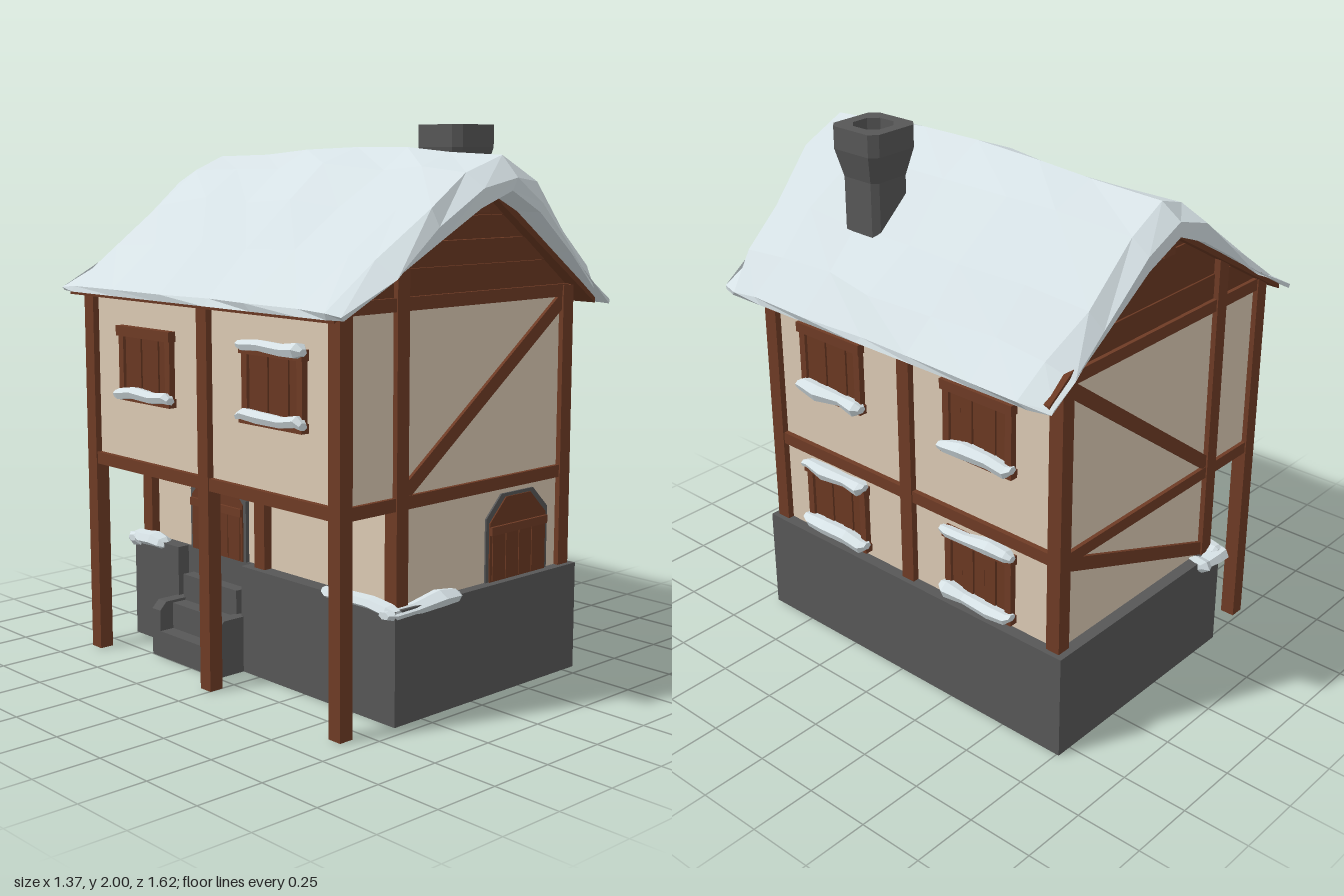
import * as THREE from 'three';

const mat = (name, color) => { const m = new THREE.MeshStandardMaterial({ color }); m.name = name; return m; };

// small repeatable pseudo-random value in -0.5..0.5
const noise = (a, b) => { const s = Math.sin(a * 12.99 + b * 78.23) * 43758.55; return s - Math.floor(s) - 0.5; };

// faceted solid through rings of [x, y, z] points, with strip-shaped caps at both ends
function loft(rings) {
  const pos = [], n = rings[0].length;
  const quad = (a, b, c, d) => pos.push(...a, ...b, ...c, ...a, ...c, ...d);
  for (let k = 0; k < rings.length - 1; k++) {
    const a = rings[k], b = rings[k + 1];
    for (let i = 0; i < n; i++) quad(a[i], a[(i + 1) % n], b[(i + 1) % n], b[i]);
  }
  const first = rings[0], last = rings[rings.length - 1];
  for (let i = 0; i < n / 2 - 1; i++) {
    quad(last[i], last[i + 1], last[n - 2 - i], last[n - 1 - i]);
    quad(first[n - 1 - i], first[n - 2 - i], first[i + 1], first[i]);
  }
  const g = new THREE.BufferGeometry();
  g.setAttribute('position', new THREE.Float32BufferAttribute(pos, 3));
  g.computeVertexNormals();
  return g;
}

function prism(points, depth) {
  const shape = new THREE.Shape(points.map(p => new THREE.Vector2(p[0], p[1])));
  return new THREE.ExtrudeGeometry(shape, { depth, bevelEnabled: false });
}

export function createModel() {
  const root = new THREE.Group();
  root.name = 'snowyHouse';
  const plaster = mat('plaster', 0xdbc9b3), wood = mat('beamWood', 0x6e3b25), plank = mat('plankWood', 0x6a3822);
  const stone = mat('stone', 0x575757), snow = mat('snow', 0xd5e0e4);

  const add = (name, geo, m, parent = root) => {
    const o = new THREE.Mesh(geo, m); o.name = name; parent.add(o); return o;
  };
  const box = (name, m, x0, x1, y0, y1, z0, z1, parent) => {
    const o = add(name, new THREE.BoxGeometry(x1 - x0, y1 - y0, z1 - z0), m, parent);
    o.position.set((x0 + x1) / 2, (y0 + y1) / 2, (z0 + z1) / 2);
    return o;
  };
  // uneven lump of snow lying along local x
  const snowStrip = (len, h, d, seed, parent) => add('snowStrip', loft([-0.5, -0.4, -0.15, 0.2, 0.43, 0.5].map((t, k) => {
    const s = k === 0 || k === 5 ? 0.5 : 0.95 + noise(seed, k) * 0.5;
    return Array.from({ length: 6 }, (_, i) => {
      const a = i * Math.PI / 3 + 0.3;
      return [t * len, Math.cos(a) * h / 2 * s + noise(k, seed + 3) * h * 0.4, Math.sin(a) * d / 2 * s];
    });
  })), snow, parent);

  // hollow stone base, with a gap for the stairs on the right side
  box('baseFront', stone, -0.38, 0.56, 0, 0.4, 0.65, 0.7);
  box('baseBack', stone, -0.38, 0.56, 0, 0.4, -0.76, -0.71);
  box('baseLeft', stone, 0.51, 0.56, 0, 0.4, -0.71, 0.65);
  box('baseRightFront', stone, -0.38, -0.315, 0, 0.4, -0.1, 0.65);
  box('baseRightBack', stone, -0.38, -0.315, 0, 0.4, -0.71, -0.48);

  // stairs and their cheek walls
  for (let i = 0; i < 3; i++) box('step', stone, -0.5 + i * 0.06, -0.43 + i * 0.06, i ? i * 0.1 - 0.03 : 0, i * 0.1 + 0.1, -0.45, -0.13);
  box('landing', stone, -0.33, -0.3, 0.25, 0.4, -0.48, -0.1);
  for (const z of [-0.49, -0.14]) add('stairCheek', prism([[-0.5, 0], [-0.36, 0], [-0.36, 0.21], [-0.47, 0.21], [-0.5, 0.18]], 0.05), stone).position.z = z;

  // plaster storeys, the upper one overhanging
  box('lowerWalls', plaster, -0.32, 0.515, 0.395, 0.75, -0.715, 0.66);
  box('upperWalls', plaster, -0.585, 0.515, 0.755, 1.42, -0.715, 0.66);
  box('overhangFloor', wood, -0.58, -0.32, 0.745, 0.756, -0.71, 0.655);

  // timber frame
  for (const z of [0.652, -0.025, -0.707]) {
    const [a, b] = [z - 0.028, z + 0.028];
    box('outerPost', wood, -0.61, -0.555, 0, 1.43, a, b);
    box('leftPost', wood, 0.485, 0.54, 0.4, 1.43, a, b);
    box('innerPost', wood, -0.355, -0.3, 0.4, z === -0.025 ? 0.75 : 1.58, a, b);
    box('floorJoist', wood, -0.58, -0.32, 0.73, 0.775, a + 0.005, b - 0.005);
  }
  for (const y of [0.73, 1.39]) {
    for (const z of [0.625, -0.73]) box('gableRail', wood, -0.59, 0.52, y, y + 0.045, z, z + 0.05);
    for (const x of [-0.605, 0.485]) box('sideRail', wood, x, x + 0.05, y, y + 0.045, -0.7, 0.645);
  }
  const brace = (x0, y0, x1, y1, z) => {
    const o = add('diagonalBrace', new THREE.BoxGeometry(Math.hypot(x1 - x0, y1 - y0), 0.05, 0.03), wood);
    o.position.set((x0 + x1) / 2, (y0 + y1) / 2, z);
    o.rotation.z = Math.atan2(y1 - y0, x1 - x0);
  };
  brace(-0.32, 0.775, 0.5, 1.385, 0.658);
  brace(-0.32, 0.775, 0.5, 1.385, -0.713);
  brace(-0.32, 0.42, 0.5, 0.735, -0.713);

  // gables made of stacked boards
  const leftX = y => -0.6 + (y - 1.41) * 1.72, rightX = y => 0.55 - (y - 1.41) * 1.34;
  const levels = [1.42, 1.525, 1.61, 1.69, 1.76];
  for (const z of [0.63, -0.715]) {
    for (let i = 0; i < 4; i++) {
      const y0 = levels[i] + 0.002, y1 = levels[i + 1];
      const board = add('gableBoard', prism([[leftX(y0), y0], [rightX(y0), y0], [rightX(y1), y1], [leftX(y1), y1]], 0.03), plank);
      board.position.z = z + (i % 2) * 0.004;
    }
  }
  box('ridgeBeam', wood, 0.01, 0.07, 1.7, 1.76, -0.76, 0.69);

  // boarded roof under the snow
  add('roofBoards', prism([[-0.655, 1.375], [0, 1.755], [0.08, 1.755], [0.64, 1.36], [0.64, 1.385], [0.08, 1.785], [0, 1.785], [-0.655, 1.4]], 1.46), plank).position.z = -0.76;

  // faceted snow blanket over the roof
  const under = [[-0.675, 1.387], [-0.45, 1.517], [-0.27, 1.622], [-0.1, 1.72], [0.04, 1.775], [0.2, 1.7], [0.4, 1.555], [0.56, 1.44], [0.665, 1.36]];
  const over = [[0.67, 1.385], [0.56, 1.505], [0.41, 1.645], [0.21, 1.815], [0.05, 1.905], [-0.1, 1.85], [-0.28, 1.725], [-0.46, 1.575], [-0.675, 1.412]];
  const rows = [-0.8, -0.72, -0.45, -0.2, 0.07, 0.32, 0.55, 0.74, 0.8];
  add('roofSnow', loft(rows.map((z, k) => {
    const end = k === 0 || k === rows.length - 1;
    const bow = x => z > 0.7 ? 0.02 - 0.1 * Math.abs(x - 0.07) : z < -0.7 ? 0.04 * Math.max(0, x) : 0;
    const drop = end ? 0.075 : Math.abs(z) > 0.7 ? 0.015 : 0, narrow = end ? 0.97 : 1;
    return [
      ...under.map(([x, y]) => [x * narrow, y, z + bow(x)]),
      ...over.map(([x, y], i) => {
        const f = i === 0 || i === over.length - 1 ? 0.15 : 1;
        return [x * narrow + noise(k, i) * 0.03, y - drop * f + noise(i + 4, k) * 0.03 * f, z + bow(x) + (end ? 0 : noise(k + 2, i + 5) * 0.07)];
      })];
  })), snow);

  // chimney with flared, chamfered top and an open flue
  const octagon = ([h, y, chamfer]) => {
    const c = h * chamfer;
    return [[c, h], [h, c], [h, -c], [c, -h], [-c, -h], [-h, -c], [-h, c], [-c, h]].map(([x, z]) => [0.33 + x, y, 0.29 + z]);
  };
  add('chimney', loft([[0.085, 1.55, 0.75], [0.085, 1.82, 0.75], [0.11, 1.92, 0.75], [0.11, 2, 0.75], [0.065, 2, 0.5], [0.065, 1.6, 0.5]].map(octagon)), stone);

  // shuttered windows, built facing local +z
  const shutteredWindow = (x, y, z, turn, snowTop, seed) => {
    const g = new THREE.Group();
    g.name = 'window';
    for (let i = 0; i < 5; i++) box('shutterBoard', plank, -0.128 + i * 0.052, -0.08 + i * 0.052, -0.12, 0.11, 0, 0.012 + (i % 2) * 0.004, g);
    for (const s of [-1, 1]) box('windowJamb', wood, s * 0.14 - 0.014, s * 0.14 + 0.014, -0.12, 0.12, 0, 0.024, g);
    box('windowLintel', wood, -0.16, 0.16, 0.1, 0.137, 0, 0.032, g);
    box('windowSill', wood, -0.16, 0.16, -0.137, -0.105, 0, 0.032, g);
    snowStrip(0.33, 0.055, 0.075, seed, g).position.set(0, -0.107, 0.03);
    if (snowTop) snowStrip(0.33, 0.05, 0.065, seed + 7, g).position.set(0, 0.135, 0.028);
    g.position.set(x, y, z);
    g.rotation.y = turn;
    root.add(g);
  };
  for (const [i, z] of [0.345, -0.365].entries()) {
    shutteredWindow(0.515, 1.135, z, Math.PI / 2, false, 1 + i);
    shutteredWindow(0.515, 0.56, z, Math.PI / 2, true, 3 + i);
    shutteredWindow(-0.585, 1.135, z, -Math.PI / 2, i === 0, 5 + i);
  }

  // arched doors with stone surround, built facing local +z
  const arch = (w, h, c) => [[-w, 0], [w, 0], [w, h - c], [w - c, h], [c - w, h], [-w, h - c]];
  const door = (x, z, turn) => {
    const g = new THREE.Group();
    g.name = 'door';
    add('doorSurround', prism(arch(0.165, 0.31, 0.08), 0.025), stone, g);
    add('doorHead', prism(arch(0.15, 0.298, 0.085), 0.03), plank, g);
    for (let i = 0; i < 4; i++) box('doorBoard', plank, -0.138 + i * 0.07, -0.072 + i * 0.07, 0.005, 0.17, 0.02, 0.034, g);
    box('doorRail', wood, -0.15, 0.15, 0.17, 0.2, 0.02, 0.04, g);
    g.position.set(x, 0.4, z);
    g.rotation.y = turn;
    root.add(g);
  };
  door(0.267, 0.642, 0);
  door(-0.31, -0.29, -Math.PI / 2);

  // snow lying on the base ledge corners
  snowStrip(0.36, 0.055, 0.1, 11).position.set(-0.225, 0.39, 0.67);
  snowStrip(0.16, 0.055, 0.09, 14).position.set(-0.32, 0.385, -0.755);
  for (const [len, z] of [[0.36, 0.52], [0.2, -0.67]]) {
    const s = snowStrip(len, 0.05, 0.08, 12 + z);
    s.position.set(-0.365, 0.395, z);
    s.rotation.y = Math.PI / 2;
  }
  return root;
}
